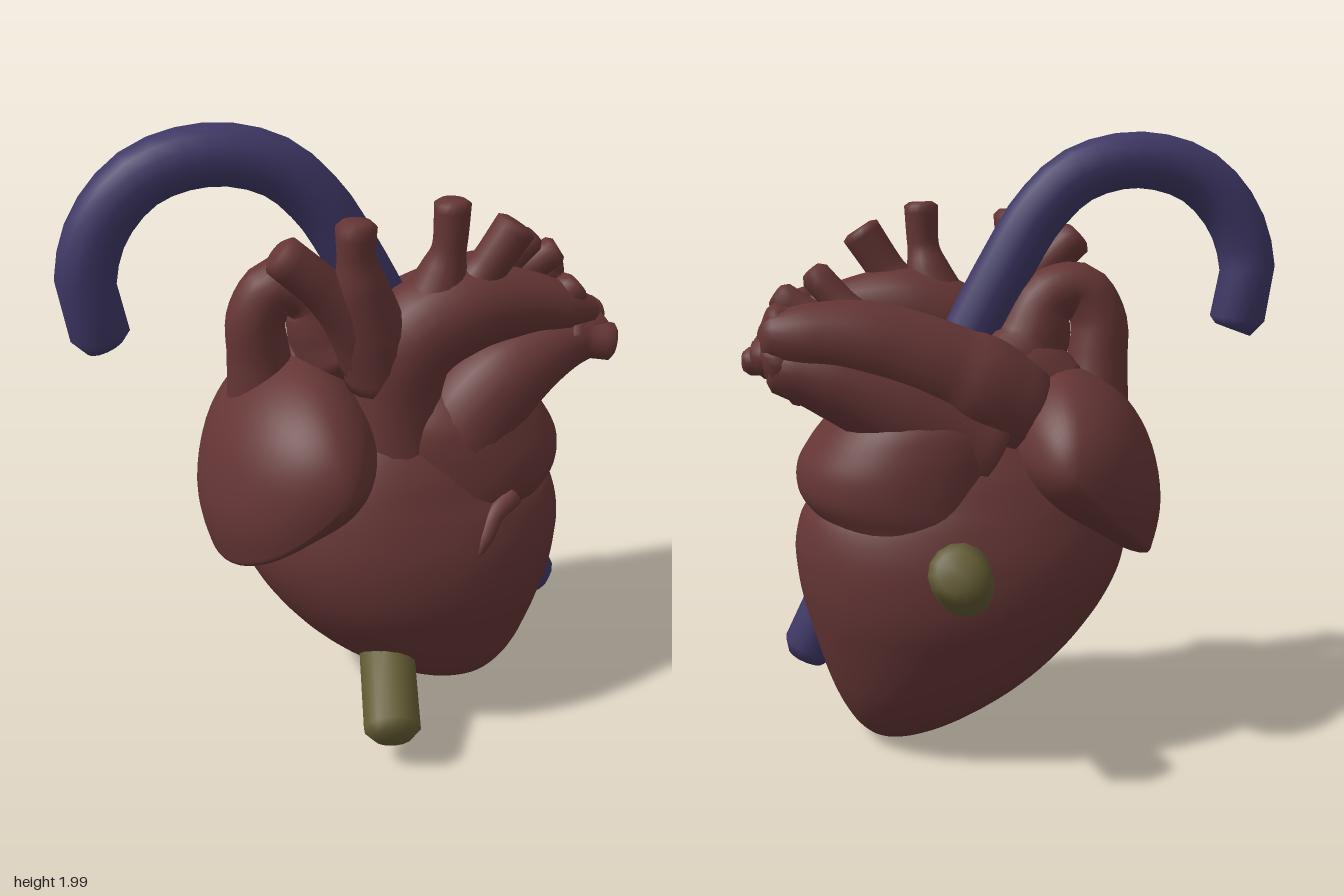
import * as THREE from 'three';
import { mergeVertices } from 'three/addons/utils/BufferGeometryUtils.js';

const V = (p) => new THREE.Vector3(p[0], p[1], p[2] || 0);
const flesh = new THREE.MeshStandardMaterial({ color: 0x653535 });
const blue = new THREE.MeshStandardMaterial({ color: 0x3f3866 });
const olive = new THREE.MeshStandardMaterial({ color: 0x625b33 });

// Welds a geometry and gives it smooth normals.
function smooth(geo) {
  geo.deleteAttribute('uv');
  geo.deleteAttribute('normal');
  const welded = mergeVertices(geo, 1e-5);
  welded.computeVertexNormals();
  return welded;
}

function add(group, name, geo, material = flesh) {
  const mesh = new THREE.Mesh(geo, material);
  mesh.name = name;
  group.add(mesh);
}

// Closed skin over rows of points: at(u, v) with u along and v around.
function skin(rows, cols, at) {
  const pos = [], index = [];
  for (let i = 0; i <= rows; i++)
    for (let j = 0; j <= cols; j++) pos.push(...at(i / rows, (j % cols) / cols));
  for (let i = 0; i < rows; i++)
    for (let j = 0; j < cols; j++) {
      const a = i * (cols + 1) + j, b = a + cols + 1;
      index.push(a, a + 1, b, a + 1, b + 1, b);
    }
  const geo = new THREE.BufferGeometry();
  geo.setAttribute('position', new THREE.Float32BufferAttribute(pos, 3));
  geo.setIndex(index);
  return smooth(geo);
}

// Stack of slightly squared ellipses; each row is [height, right edge, left edge, half depth].
function loft(rows, cz) {
  const rightEdge = new THREE.CatmullRomCurve3(rows.map((r) => V([r[1], r[0], r[3]])));
  const leftEdge = new THREE.CatmullRomCurve3(rows.map((r) => V([r[2], r[0]])));
  const squared = (q) => Math.sign(q) * Math.pow(Math.abs(q), 0.92);
  return skin(60, 64, (u, v) => {
    const a = rightEdge.getPoint(u), b = leftEdge.getPoint(u), w = v * Math.PI * 2;
    return [(a.x + b.x) / 2 + (b.x - a.x) / 2 * squared(Math.cos(w)), a.y, cz - a.z * squared(Math.sin(w))];
  });
}

// Rounded lobe: an outline in x and y (counter-clockwise), swelling along z about a centre.
function lobe(outline, [cx, cy, cz], halfDepth) {
  const curve = new THREE.CatmullRomCurve3(outline.map(V), true);
  return skin(32, 56, (u, v) => {
    const phi = (u - 0.5) * Math.PI, s = Math.max(0, Math.cos(phi)), p = curve.getPoint(v);
    return [cx + (p.x - cx) * s, cy + (p.y - cy) * s, cz + halfDepth * Math.sin(phi)];
  });
}

// Tapered vessel with softly bevelled ends; each point is [x, y, z, radius].
function vessel(points, sides = 20, n = 32, bevel = 0.02) {
  const curve = new THREE.CatmullRomCurve3(points.map(V));
  const radii = new THREE.CatmullRomCurve3(points.map((p) => new THREE.Vector3(p[3], 0, 0)));
  const geo = new THREE.TubeGeometry(curve, n, 1, sides);
  const pos = geo.attributes.position, nor = geo.attributes.normal;
  const step = Math.min(bevel / curve.getLength(), 1 / n);
  for (let i = 0; i <= n; i++) {
    const fromEnd = Math.min(i, n - i);
    let t = i / n;
    if (fromEnd < 3) t = (fromEnd === 2 ? step : 0);
    if (fromEnd < 3 && i > n / 2) t = 1 - t;
    const r = radii.getPoint(curve.getUtoTmapping(t)).x * [0, 0.68, 1][Math.min(fromEnd, 2)];
    const c = curve.getPointAt(t);
    for (let j = 0; j <= sides; j++) {
      const k = i * (sides + 1) + j;
      pos.setXYZ(k, c.x + nor.getX(k) * r, c.y + nor.getY(k) * r, c.z + nor.getZ(k) * r);
    }
  }
  return smooth(geo);
}

export function createModel() {
  const heart = new THREE.Group();
  heart.name = 'heart';

  add(heart, 'ventricles', loft([
    [0.005, 0.41, 0.42, 0], [0.02, 0.33, 0.48, 0.085], [0.05, 0.25, 0.52, 0.15], [0.1, 0.14, 0.56, 0.215],
    [0.2, -0.02, 0.61, 0.305], [0.3, -0.14, 0.645, 0.363], [0.4, -0.23, 0.675, 0.405], [0.5, -0.3, 0.7, 0.437],
    [0.6, -0.35, 0.717, 0.445], [0.7, -0.37, 0.72, 0.435], [0.8, -0.36, 0.69, 0.405], [0.86, -0.33, 0.62, 0.38],
    [0.95, -0.25, 0.55, 0.34], [1.05, -0.15, 0.5, 0.27], [1.12, 0, 0.4, 0.15], [1.14, 0.2, 0.2, 0],
  ], 0.052));

  // Left atrium, with a low saddle between the great vessels
  add(heart, 'leftAtrium', loft([
    [0.7, 0.3, 0.3, 0], [0.75, 0.05, 0.6, 0.34], [0.81, 0, 0.665, 0.365], [0.87, 0, 0.705, 0.37],
    [0.95, -0.01, 0.708, 0.365], [1.03, -0.02, 0.665, 0.35], [1.1, 0, 0.61, 0.325], [1.17, 0.05, 0.57, 0.26],
    [1.2, 0.15, 0.48, 0.15], [1.205, 0.3, 0.3, 0],
  ], 0.035));

  add(heart, 'rightAtrium', lobe([
    [-0.44, 0.62], [-0.25, 0.69], [-0.08, 0.78], [0.03, 0.9], [0.065, 1.02], [0.01, 1.18],
    [-0.13, 1.27], [-0.3, 1.21], [-0.43, 1.05], [-0.485, 0.82], [-0.46, 0.66],
  ], [-0.12, 0.96, 0.05], 0.46));

  // Great vessels and their branches
  const vessels = {
    aorta: [[0.13, 0.88, 0.2, 0.17], [0.12, 1.15, 0.2, 0.145], [0.16, 1.33, 0.2, 0.155], [0.32, 1.42, 0.2, 0.145],
      [0.55, 1.42, 0.2, 0.1], [0.7, 1.38, 0.2, 0.07], [0.78, 1.37, 0.19, 0.04]],
    pulmonaryTrunk: [[0.28, 0.85, 0.24, 0.16], [0.34, 1.05, 0.22, 0.165], [0.47, 1.19, 0.21, 0.15],
      [0.66, 1.28, 0.2, 0.1], [0.82, 1.3, 0.19, 0.065]],
    rearPulmonaryVessel: [[-0.02, 1.1, -0.09, 0.16], [0.22, 1.24, -0.11, 0.16], [0.48, 1.34, -0.12, 0.145],
      [0.68, 1.37, -0.14, 0.11], [0.8, 1.38, -0.16, 0.065]],
    lowerRearVessel: [[0.1, 0.98, -0.12, 0.17], [0.38, 1.15, -0.13, 0.155], [0.6, 1.25, -0.14, 0.12], [0.78, 1.29, -0.15, 0.07]],
    rearConnection: [[-0.15, 1.15, -0.02, 0.12], [-0.02, 1.23, 0.02, 0.14], [0.1, 1.22, 0.04, 0.12]],
    venaCava: [[-0.25, 1.08, 0.02, 0.13], [-0.275, 1.27, 0.03, 0.1], [-0.28, 1.4, 0.04, 0.092], [-0.22, 1.495, 0.05, 0.088],
      [-0.11, 1.46, 0.05, 0.1], [-0.05, 1.32, 0.05, 0.13], [0.02, 1.22, 0.05, 0.13]],
    archBranch1: [[0.06, 1.27, 0.2, 0.11], [-0.02, 1.43, 0.23, 0.095], [-0.13, 1.55, 0.25, 0.068], [-0.255, 1.665, 0.25, 0.065]],
    archBranch2: [[0.08, 1.22, 0.2, 0.12], [0.03, 1.4, 0.24, 0.105], [-0.015, 1.56, 0.27, 0.078], [-0.03, 1.65, 0.28, 0.057],
      [-0.03, 1.75, 0.28, 0.062]],
    archBranch3: [[0.22, 1.4, 0.2, 0.12], [0.26, 1.55, 0.21, 0.075], [0.275, 1.64, 0.22, 0.052], [0.28, 1.775, 0.22, 0.056]],
    archBranch4: [[0.31, 1.43, 0.2, 0.11], [0.4, 1.56, 0.22, 0.062], [0.485, 1.69, 0.23, 0.066]],
  };
  for (const [name, points] of Object.entries(vessels)) add(heart, name, vessel(points));

  // Short stubs fanning out at the left ends of the vessels: root, tip, tip radius
  const stubs = [
    [[0.48, 1.38, -0.06], [0.645, 1.57, -0.01], 0.048], [[0.58, 1.38, -0.1], [0.755, 1.5, -0.06], 0.052],
    [[0.65, 1.38, -0.12], [0.79, 1.43, -0.14], 0.06], [[0.66, 1.36, -0.14], [0.82, 1.3, -0.1], 0.062],
    [[0.65, 1.33, -0.12], [0.79, 1.29, -0.18], 0.06], [[0.62, 1.3, -0.06], [0.86, 1.29, -0.01], 0.045],
    [[0.55, 1.25, -0.05], [0.72, 1.17, 0], 0.035], [[0.62, 1.27, 0.15], [0.72, 1.17, 0.13], 0.03],
    [[0.6, 1.38, 0.2], [0.71, 1.47, 0.2], 0.055], [[0.65, 1.32, 0.2], [0.81, 1.36, 0.14], 0.05],
    [[0.68, 1.3, 0.2], [0.83, 1.28, 0.25], 0.06],
  ];
  for (const [a, b, r] of stubs)
    add(heart, 'vesselStub', vessel([[...a, r * 1.6], [...a.map((q, i) => (q + b[i]) / 2), r * 1.05], [...b, r]], 12, 12));

  // Raised vein on the front
  add(heart, 'frontVein', vessel([[0.46, 0.85, 0.375, 0.04], [0.39, 0.81, 0.415, 0.03], [0.35, 0.75, 0.445, 0.025], [0.31, 0.69, 0.465, 0.012]], 10));

  // Curved tube that runs through the heart and comes out low on its left
  add(heart, 'throughTube', vessel([
    [-0.742, 1.355], [-0.78, 1.46], [-0.783, 1.58], [-0.73, 1.73], [-0.6, 1.86], [-0.4, 1.908],
    [-0.21, 1.86], [-0.08, 1.74], [0.02, 1.58], [0.2, 1.25], [0.45, 0.8], [0.7, 0.29],
  ].map((p) => [...p, 0.048, 0.091]), 14, 40, 0.04), blue);

  // Straight rod passing through from front to back
  add(heart, 'crossRod', vessel([[0.015, 0.145, 0.585, 0.092], [0.14, 0.45, 0, 0.092], [0.26, 0.75, -0.58, 0.092]], 14, 12, 0.03), olive);

  return heart;
}
